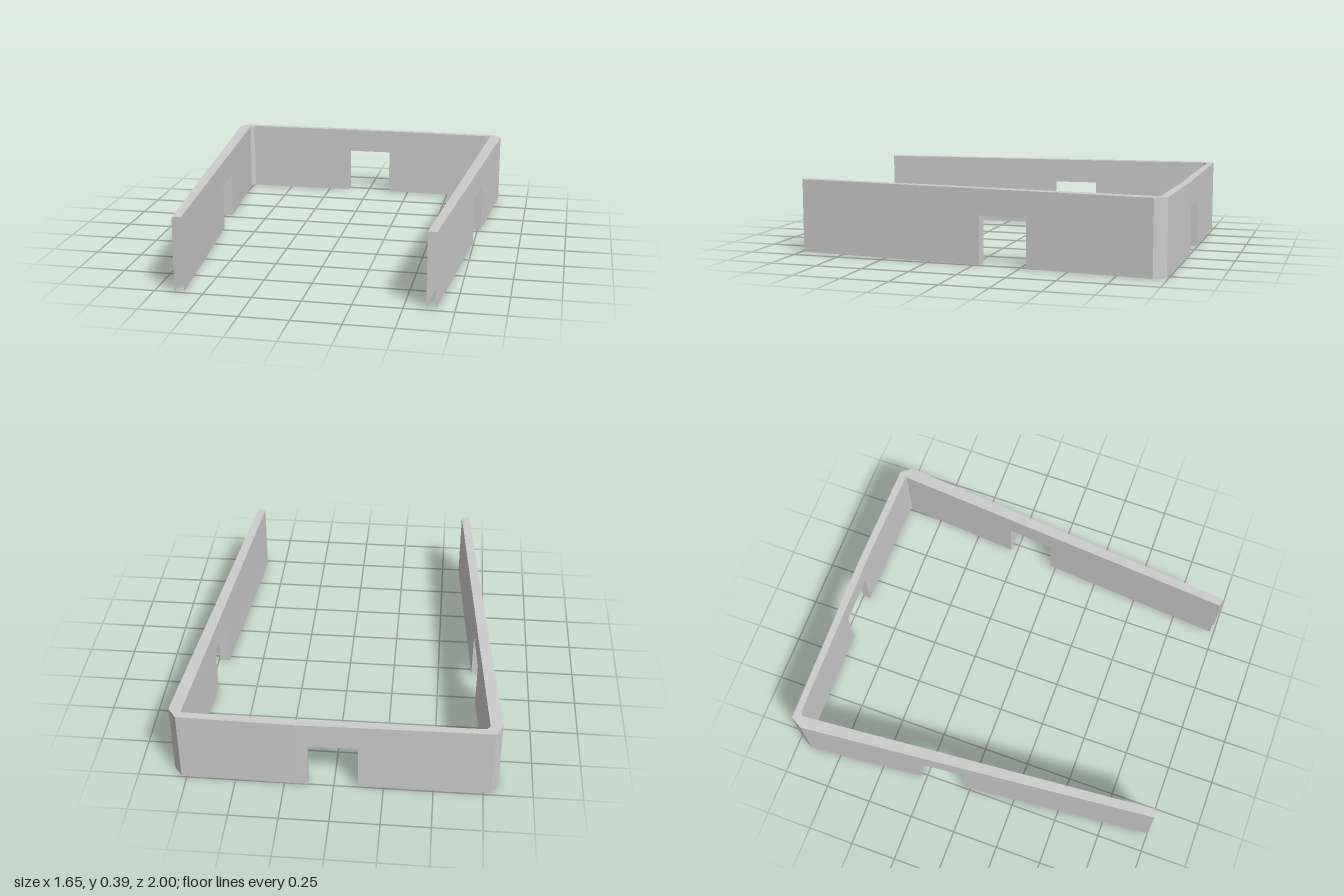
import * as THREE from 'three';

const H = 0.39, DOOR = 0.255;

// A hollow wall run: stations are [outerX, outerZ, innerX, innerZ]; 'door' is the index of the
// segment that is cut by a doorway. The underside and the free ends stay open.
function wallRun(name, stations, door, material) {
  const pos = [];
  const quad = (a, b, c, d) => [a, b, c, a, c, d].forEach((p) => pos.push(...p));
  const out = (s, y) => [s[0], y, s[1]];
  const inn = (s, y) => [s[2], y, s[3]];
  for (let i = 0; i < stations.length - 1; i++) {
    const a = stations[i], b = stations[i + 1];
    const y = i === door ? DOOR : 0;
    quad(out(b, y), out(a, y), out(a, H), out(b, H)); // outer skin
    quad(inn(a, y), inn(b, y), inn(b, H), inn(a, H)); // inner skin
    quad(out(a, H), inn(a, H), inn(b, H), out(b, H)); // top edge
    if (i === door) {
      quad(out(a, y), out(b, y), inn(b, y), inn(a, y)); // lintel
      quad(out(a, 0), out(a, y), inn(a, y), inn(a, 0)); // jambs
      quad(out(b, 0), inn(b, 0), inn(b, y), out(b, y));
    }
  }
  const g = new THREE.BufferGeometry();
  g.setAttribute('position', new THREE.Float32BufferAttribute(pos, 3));
  g.computeVertexNormals();
  const mesh = new THREE.Mesh(g, material);
  mesh.name = name;
  return mesh;
}

// Station between two others, at given fractions along the outer and inner lines
function between(a, b, to, ti) {
  return a.map((v, k) => v + (b[k] - v) * (k < 2 ? to : ti));
}

// Station where the outer line has outer z and the inner line inner z
function atZ(a, b, zo, zi) {
  return between(a, b, (zo - a[1]) / (b[1] - a[1]), (zi - a[3]) / (b[3] - a[3]));
}

// Station at one x on both lines
function atX(a, b, x) {
  return between(a, b, (x - a[0]) / (b[0] - a[0]), (x - a[2]) / (b[2] - a[2]));
}

export function createModel() {
  const model = new THREE.Group();
  model.name = 'threeSidedWall';
  const grey = new THREE.MeshStandardMaterial({ color: 0xcccccc, flatShading: true, side: THREE.DoubleSide });
  grey.name = 'wallGrey';

  // Plan corners, from the right front end round the back to the left front end
  const rightFront = [-0.645, 1.0, -0.6, 0.988];
  const rightBack = [-0.825, -0.92, -0.762, -0.93];
  const backRight = [-0.79, -0.985, -0.742, -0.95];
  const backPeak = [0.19, -1.0, 0.21, -0.96];
  const backLeft = [0.78, -0.99, 0.755, -0.95];
  const leftBack = [0.825, -0.93, 0.76, -0.945];
  const leftFront = [0.655, 0.987, 0.61, 0.977];

  const doorFront = [-0.03, -0.035], doorBack = [-0.283, -0.288];
  model.add(
    wallRun('rightWall', [rightFront, atZ(rightFront, rightBack, ...doorFront),
      atZ(rightFront, rightBack, ...doorBack), rightBack], 1, grey),
    wallRun('rightCorner', [rightBack, backRight], -1, grey),
    wallRun('backWall', [backRight, atX(backRight, backPeak, -0.122),
      atX(backRight, backPeak, 0.131), backPeak, backLeft], 1, grey),
    wallRun('leftCorner', [backLeft, leftBack], -1, grey),
    wallRun('leftWall', [leftBack, atZ(leftBack, leftFront, ...doorBack),
      atZ(leftBack, leftFront, ...doorFront), leftFront], 1, grey),
  );
  return model;
}
